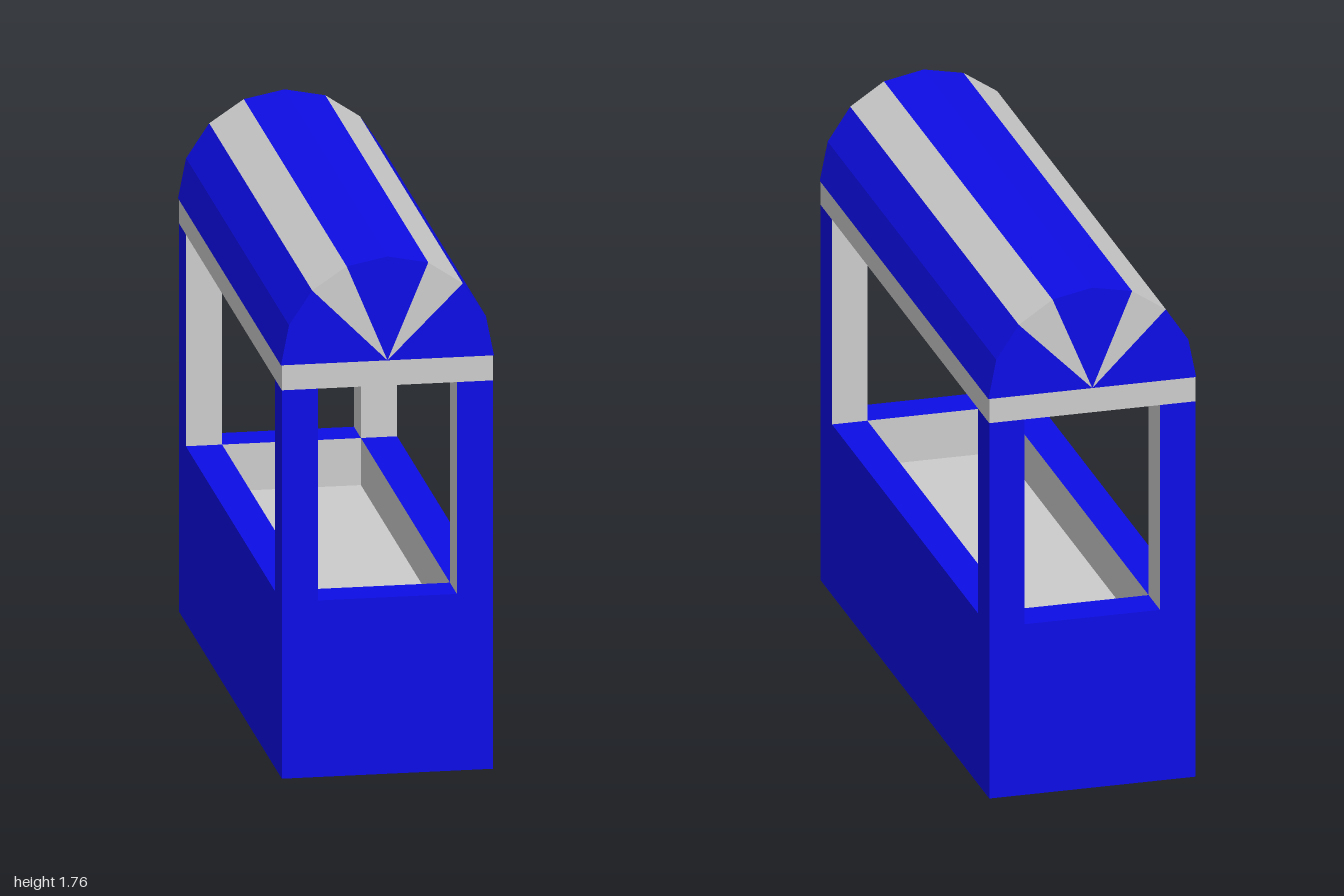
import * as THREE from 'three';

const blue = new THREE.MeshStandardMaterial({ color: 0x0d0de6, flatShading: true });
const grey = new THREE.MeshStandardMaterial({ color: 0xcccccc, flatShading: true });

const W = 0.35, D = 1;            // outer half width and half depth
const IW = 0.23, ID = 0.865;      // inner half width and half depth
const SILL = 0.6, FLOOR = 0.44, HEAD = 1.32, EAVE = 1.405, RISE = 0.353;
const FACES = ['+x', '-x', '+y', '-y', '+z', '-z'];

// Box between two corners: the listed faces are grey, the skipped ones left out, the rest blue
function facedBox(name, min, max, greyFaces = [], skip = []) {
  const group = new THREE.Group();
  group.name = name;
  const size = max.map((v, i) => v - min[i]);
  for (const [material, wanted, label] of [
    [blue, f => !greyFaces.includes(f), 'Outside'],
    [grey, f => greyFaces.includes(f), 'Lining'],
  ]) {
    const geo = new THREE.BoxGeometry(...size);
    const all = Array.from(geo.index.array);
    const index = FACES.flatMap((f, i) =>
      wanted(f) && !skip.includes(f) ? all.slice(i * 6, i * 6 + 6) : []);
    if (!index.length) continue;
    geo.setIndex(index);
    geo.clearGroups();
    geo.translate(...min.map((v, i) => (v + max[i]) / 2));
    const mesh = new THREE.Mesh(geo, material);
    mesh.name = name + label;
    group.add(mesh);
  }
  return group;
}

export function createModel() {
  const model = new THREE.Group();
  model.name = 'stall';

  // Tub: floor and four walls lined in grey
  model.add(facedBox('floor', [-IW, 0, -ID], [IW, FLOOR, ID], ['+y'], ['+x', '-x', '+z', '-z']));
  for (const s of [1, -1]) {
    const out = s > 0 ? '+' : '-', inn = s > 0 ? '-' : '+';
    const x = [s * IW, s * W].sort((a, b) => a - b);
    const z = [s * ID, s * D].sort((a, b) => a - b);
    model.add(facedBox(s > 0 ? 'leftWall' : 'rightWall',
      [x[0], 0, -D], [x[1], SILL, D], [inn + 'x']));
    model.add(facedBox(s > 0 ? 'frontWall' : 'backWall',
      [-IW, 0, z[0]], [IW, SILL, z[1]], [inn + 'z'], ['+x', '-x']));

    // Corner posts: blue outside, grey on the two inner faces
    for (const t of [1, -1]) {
      const pz = [t * ID, t * D].sort((a, b) => a - b);
      model.add(facedBox(`${t > 0 ? 'front' : 'back'}${s > 0 ? 'Left' : 'Right'}Post`,
        [x[0], SILL, pz[0]], [x[1], HEAD, pz[1]],
        [inn + 'x', (t > 0 ? '-' : '+') + 'z'], ['+y', '-y']));
    }
  }

  // Grey band under the roof with a blue ceiling and a grey panel over one half
  model.add(facedBox('eaveBand', [-W, HEAD, -D], [W, EAVE, D], ['+x', '-x', '+z', '-z']));
  model.add(facedBox('ceilingPanel', [0, HEAD - 0.002, -ID], [IW, HEAD, ID], FACES, ['+y']));

  // Arched roof of eight facets, striped as wedges that meet at the eave centre
  const stripes = [[0, 2, blue], [2, 3, grey], [3, 5, blue], [5, 6, grey], [6, 8, blue]];
  stripes.forEach(([from, to, material], n) => {
    const points = [new THREE.Vector2(0, EAVE)];
    for (let i = from; i <= to; i++) {
      const a = (i * Math.PI) / 8;
      points.push(new THREE.Vector2(RISE * Math.cos(a), EAVE + RISE * Math.sin(a)));
    }
    const geo = new THREE.ExtrudeGeometry(new THREE.Shape(points), { depth: 2 * D, bevelEnabled: false });
    geo.translate(0, 0, -D);
    const mesh = new THREE.Mesh(geo, material);
    mesh.name = `roofStripe${n + 1}`;
    model.add(mesh);
  });

  return model;
}
